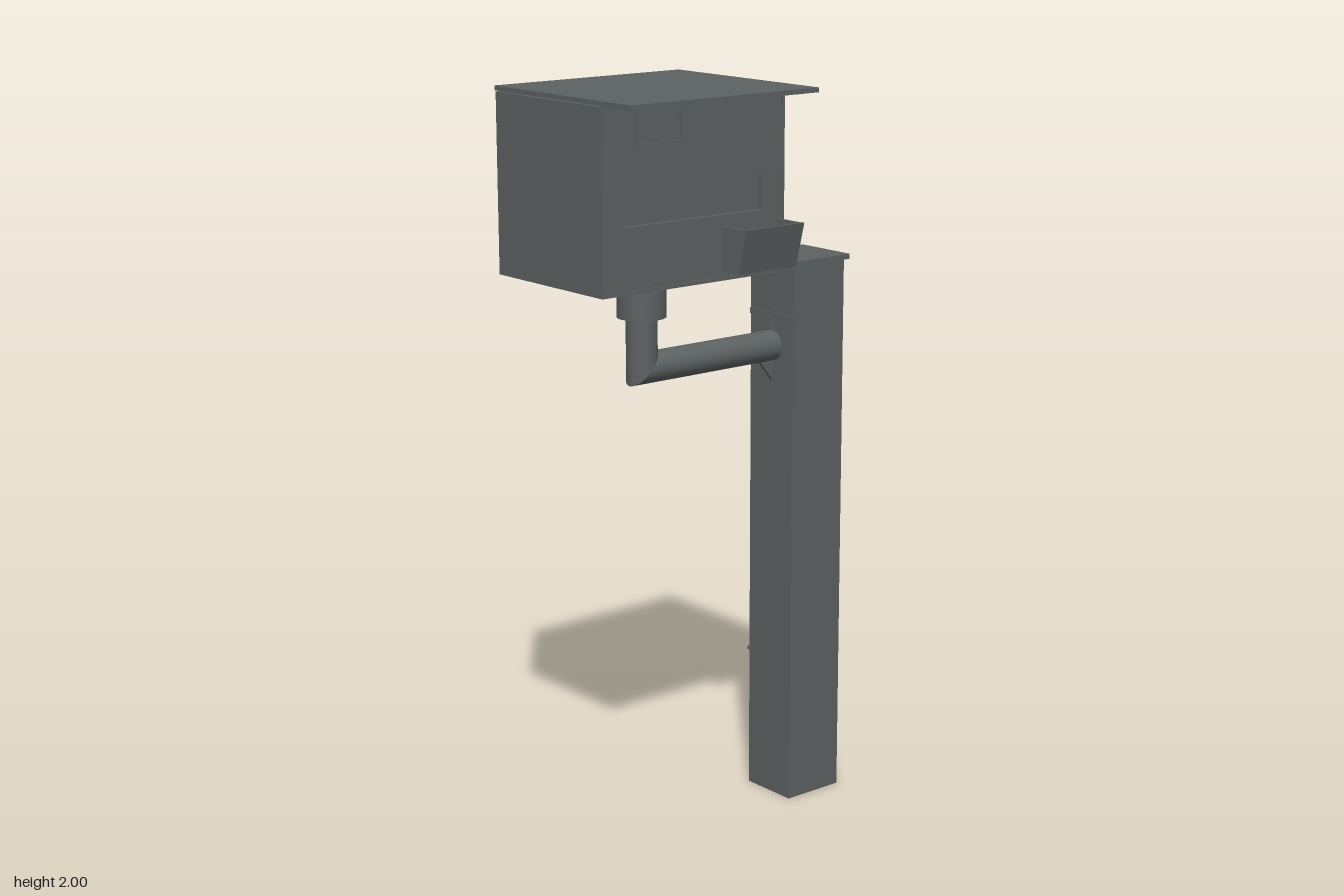
import * as THREE from 'three';

export function createModel() {
  const model = new THREE.Group();
  const steel = new THREE.MeshStandardMaterial({ color: 0x5c6162 });
  steel.name = 'grey steel';

  const add = (name, geo, parent = model) => {
    const mesh = new THREE.Mesh(geo, steel);
    mesh.name = name;
    parent.add(mesh);
    return mesh;
  };
  // Box given by its low and high limits on each axis
  const box = (name, x0, x1, y0, y1, z0, z1, parent) => {
    const m = add(name, new THREE.BoxGeometry(x1 - x0, y1 - y0, z1 - z0), parent);
    m.position.set((x0 + x1) / 2, (y0 + y1) / 2, (z0 + z1) / 2);
    return m;
  };
  // Rectangular frame facing sideways, made of four bars
  const frame = (name, x0, x1, y0, y1, z0, z1, t) => {
    const g = new THREE.Group();
    g.name = name;
    box('lowerBar', x0, x1, y0, y0 + t, z0, z1, g);
    box('upperBar', x0, x1, y1 - t, y1, z0, z1, g);
    box('backBar', x0, x1, y0 + t, y1 - t, z0, z0 + t, g);
    box('frontBar', x0, x1, y0 + t, y1 - t, z1 - t, z1, g);
    model.add(g);
  };
  // Profile drawn in x and y, extruded along z from z0
  const profile = (name, pts, z0, depth) => {
    const shape = new THREE.Shape(pts.map(p => new THREE.Vector2(...p)));
    const m = add(name, new THREE.ExtrudeGeometry(shape, { depth, bevelEnabled: false }));
    m.position.z = z0;
    return m;
  };

  // Square post with cap, seam strips
  const px = -0.065;
  box('post', -0.15, 0.02, 0, 1.5, -0.452, -0.272);
  box('postCap', -0.158, 0.03, 1.5, 1.514, -0.463, -0.275 + 0.003);
  box('postSideStrip', -0.158, -0.15, 0.392, 0.402, -0.452, -0.272);
  box('postFrontBand', -0.15, 0.02, 1.35, 1.366, -0.272, -0.268);

  // Bent pipe arm, the two lengths meeting in a mitre
  const r = 0.041, bendY = 1.276, bendZ = 0.17;
  const pipe = (name, length) => {
    const geo = new THREE.CylinderGeometry(r, r, length, 32, 1, true);
    geo.translate(0, length / 2, 0);
    const p = geo.attributes.position;
    for (let i = 0; i < p.count; i++)
      if (p.getY(i) < 0.001) p.setY(i, -p.getZ(i));
    const m = add(name, geo);
    m.position.set(px, bendY, bendZ);
    return m;
  };
  pipe('armUpright', 0.15);
  const arm = pipe('armHorizontal', 0.45);
  arm.rotation.set(-Math.PI / 2, 0, 0);
  // Opposite mitre for the horizontal length
  const ap = arm.geometry.attributes.position;
  for (let i = 0; i < ap.count; i++)
    if (ap.getY(i) < 0.1) ap.setY(i, ap.getZ(i));
  // Turned so that local y runs to -z and local z runs to +y

  const collar = add('collar', new THREE.CylinderGeometry(0.064, 0.064, 0.115, 32));
  collar.position.set(px, 1.4685, bendZ);

  // Thin gussets above and below the arm
  const gusset = (name, pts) => {
    const m = profile(name, pts, 0, 0.01);
    m.rotation.y = -Math.PI / 2;
    m.position.x = px + 0.005;
  };
  gusset('lowerGusset', [[-0.272, 1.18], [-0.225, 1.24], [-0.272, 1.24]]);
  gusset('upperGusset', [[-0.272, 1.30], [-0.264, 1.30], [-0.268, 1.355], [-0.272, 1.355]]);

  // Cabinet with raised rims on both sides
  const y0 = 1.525, y1 = 1.985, z0 = -0.12, z1 = 0.46;
  box('cabinet', -0.27, 0.136, y0, y1, z0, z1);
  frame('outerRim', 0.136, 0.152, y0, y1, z0, z1, 0.009);
  frame('rearRim', -0.275, -0.27, y0, y1, z0, z1, 0.009);

  // Side panel with a long recess
  const rect = (C, a, b, c, d) => new C([[a, b], [c, b], [c, d], [a, d]].map(p => new THREE.Vector2(...p)));
  const panel = rect(THREE.Shape, -0.451, 1.534, 0.111, 1.976);
  panel.holes.push(rect(THREE.Path, -0.392, 1.69, 0.048, 1.787));
  const door = add('sidePanel', new THREE.ExtrudeGeometry(panel, { depth: 0.012, bevelEnabled: false }));
  door.rotation.y = Math.PI / 2;
  door.position.x = 0.136;
  frame('windowFrame', 0.147, 0.154, 1.88, 1.97, 0.208, 0.352, 0.008);

  // Open tray with a leaning lip
  const tz0 = -0.11, tz1 = 0.08, t = 0.007;
  profile('trayFloorAndLip', [[0.147, 1.547], [0.21, 1.547], [0.24, 1.662],
    [0.232, 1.662], [0.204, 1.555], [0.147, 1.555]], tz0, tz1 - tz0);
  for (const z of [tz0, tz1 - t])
    profile('traySide', [[0.147, 1.548], [0.209, 1.548], [0.239, 1.661], [0.147, 1.661]], z, t);

  // Overhanging roof sheet
  box('roof', -0.275, 0.272, 1.988, 2, -0.125, 0.463);
  return model;
}
